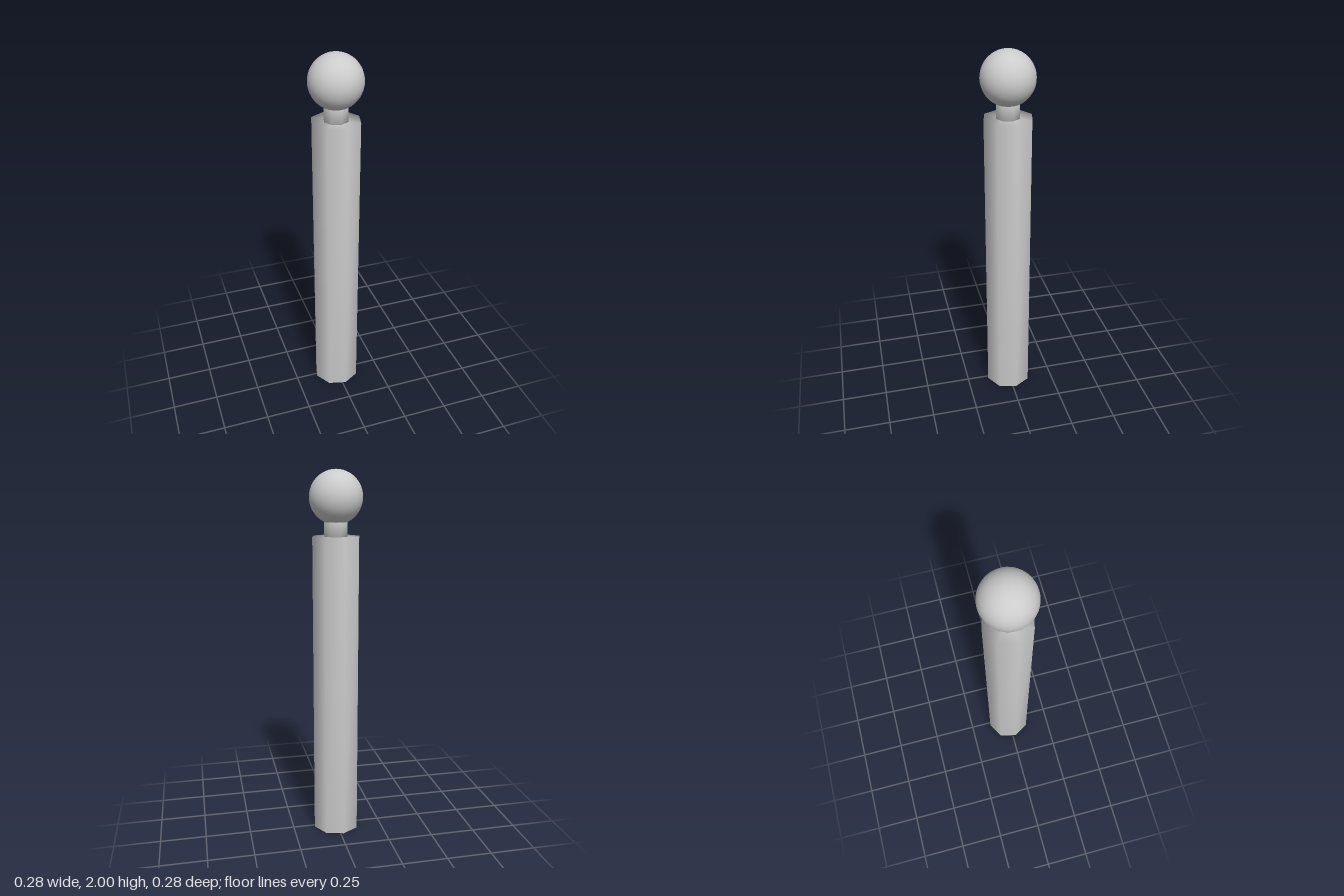
import * as THREE from 'three';
import { mergeVertices } from 'three/addons/utils/BufferGeometryUtils.js';

const SIDES = 8;
const TWIST = THREE.MathUtils.degToRad(8);

// Eight-sided post whose normals are shared between sides and end caps
function softPost(radius, bottom, top) {
  const raw = new THREE.CylinderGeometry(radius, radius, top - bottom, SIDES, 1);
  raw.deleteAttribute('normal');
  raw.deleteAttribute('uv');
  const geometry = mergeVertices(raw, 1e-4);
  geometry.computeVertexNormals();
  geometry.rotateY(TWIST);
  geometry.translate(0, (bottom + top) / 2, 0);
  return geometry;
}

export function createModel() {
  const group = new THREE.Group();
  group.name = 'ballTopPost';
  const material = new THREE.MeshStandardMaterial({ color: 0xcccccc });

  const add = (name, geometry) => {
    const mesh = new THREE.Mesh(geometry, material);
    mesh.name = name;
    group.add(mesh);
  };

  // Long shaft and the short neck above it
  add('shaft', softPost(0.131, 0, 1.66));
  add('neck', softPost(0.065, 1.66, 1.76));

  // Round ball on top
  const ball = new THREE.SphereGeometry(0.14, 32, 24);
  ball.translate(0, 1.86, 0);
  add('ball', ball);

  return group;
}
